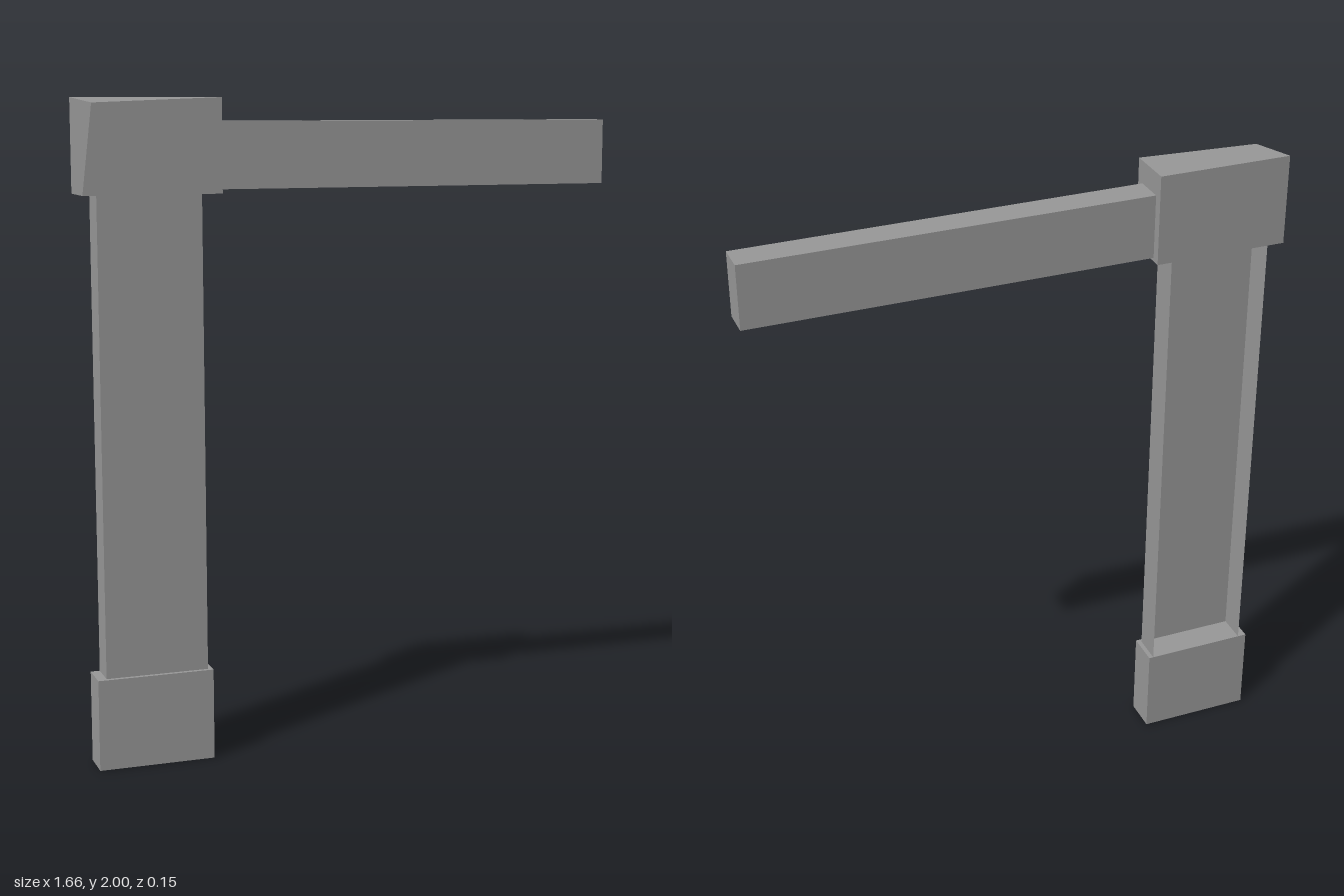
import * as THREE from 'three';

const material = new THREE.MeshStandardMaterial({ color: 0x999999 });
const sheetMaterial = new THREE.MeshStandardMaterial({ color: 0x999999, side: THREE.DoubleSide });

// Box spanning the given [min, max] ranges
function boxBetween([x0, x1], [y0, y1], [z0, z1]) {
  return new THREE.BoxGeometry(x1 - x0, y1 - y0, z1 - z0)
    .translate((x0 + x1) / 2, (y0 + y1) / 2, (z0 + z1) / 2);
}

export function createModel() {
  const model = new THREE.Group();
  const add = (name, geometry, mat = material) => {
    const mesh = new THREE.Mesh(geometry, mat);
    mesh.name = name;
    model.add(mesh);
  };

  // Foot block
  add('base', boxBetween([-0.804, -0.447], [0, 0.28], [-0.073, 0.033]));

  // Upright: a thin channel of two sides and a front, open at the back and ends
  const post = boxBetween([-0.776, -0.461], [0.28, 1.723], [-0.073, 0.02]);
  const index = Array.from(post.index.array);
  post.setIndex([...index.slice(0, 12), ...index.slice(24, 30)]);
  post.clearGroups();
  add('post', post, sheetMaterial);

  // Head block with its front upper outer corner pulled in; faces keep even shading
  const head = boxBetween([-0.828, -0.414], [1.723, 2], [-0.075, 0.075]);
  const p = head.attributes.position;
  for (let i = 0; i < p.count; i++) {
    if (p.getX(i) < -0.7 && p.getY(i) > 1.9 && p.getZ(i) > 0) p.setXY(i, -0.797, 1.985);
  }
  add('head', head);

  // Horizontal arm
  add('arm', boxBetween([-0.414, 0.828], [1.734, 1.931], [-0.047, 0.047]));

  return model;
}
